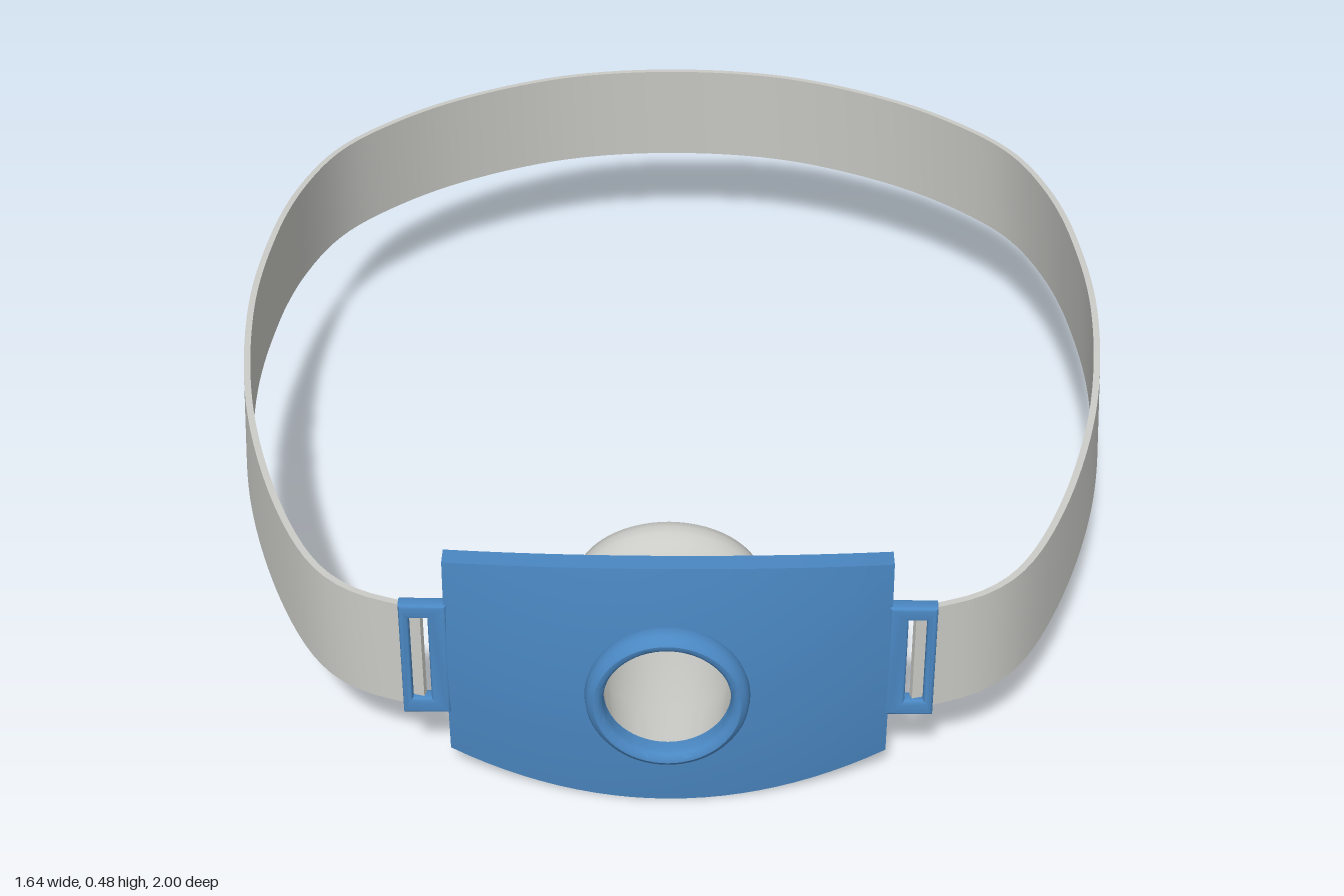
import * as THREE from 'three';
import { toCreasedNormals } from 'three/addons/utils/BufferGeometryUtils.js';

const blue = new THREE.MeshStandardMaterial({ color: 0x4a87c2 });
blue.name = 'blue plastic';
const grey = new THREE.MeshStandardMaterial({ color: 0xcacac6 });
grey.name = 'light grey';

const CY = 0.24; // height of the plate centre

// Skin a list of closed loops, each an array of [x, y, z]
function loft(rows, crease = 0.6) {
  const n = rows[0].length, index = [];
  for (let i = 0; i < rows.length - 1; i++) {
    for (let j = 0; j < n; j++) {
      const k = (j + 1) % n;
      const a = i * n + j, b = i * n + k, c = b + n, d = a + n;
      index.push(a, d, b, b, d, c);
    }
  }
  const g = new THREE.BufferGeometry();
  g.setAttribute('position', new THREE.Float32BufferAttribute(rows.flat(2), 3));
  g.setIndex(index);
  return toCreasedNormals(g, crease);
}

function add(group, name, geometry, material) {
  const mesh = new THREE.Mesh(geometry, material);
  mesh.name = name;
  group.add(mesh);
  return mesh;
}

// Doubly curved shield with a round hole and bowed top and bottom edges
function plateGeometry() {
  const W = 0.37, T = 0.036, hole = 0.12, steps = 10, n = 24;
  const half = x => 0.24 - 0.33 * x * x;
  const front = (x, y) => 0.966 - 0.6 * x * x - 0.27 * y * y;
  const edge = [];
  for (let i = 0; i < n; i++) edge.push([W, half(W) * (2 * i / n - 1)]);
  for (let i = 0; i < n; i++) { const x = W * (1 - 2 * i / n); edge.push([x, half(x)]); }
  for (let i = 0; i < n; i++) edge.push([-W, half(W) * (1 - 2 * i / n)]);
  for (let i = 0; i < n; i++) { const x = W * (2 * i / n - 1); edge.push([x, -half(x)]); }
  const ring = (t, back) => edge.map(([ex, ey]) => {
    const s = THREE.MathUtils.lerp(hole / Math.hypot(ex, ey), 1, t);
    const x = ex * s, y = ey * s;
    return [x, y + CY, front(x, y) - back];
  });
  const rows = [];
  for (let i = 0; i <= steps; i++) rows.push(ring(i / steps, 0));
  for (let i = steps; i >= 0; i--) rows.push(ring(i / steps, T));
  rows.push(ring(0, 0));
  return loft(rows);
}

// Oval tube: each section is [half width, half height, z]
function tubeGeometry() {
  const sections = [
    [0.106, 0.106, 0.97], [0.128, 0.128, 0.968], [0.128, 0.128, 0.945], [0.149, 0.109, 0.938],
    [0.149, 0.109, 0.75], [0.151, 0.112, 0.735], [0.159, 0.124, 0.718], [0.166, 0.134, 0.703],
    [0.167, 0.136, 0.685], [0.164, 0.133, 0.669], [0.154, 0.126, 0.659], [0.135, 0.115, 0.657],
    [0.121, 0.108, 0.664], [0.115, 0.105, 0.68], [0.115, 0.105, 0.88], [0.106, 0.106, 0.97],
  ];
  return loft(sections.map(([rx, ry, z]) => Array.from({ length: 64 }, (_, i) => {
    const a = i / 64 * Math.PI * 2;
    return [rx * Math.cos(a), CY + ry * Math.sin(a), z];
  })), 0.75);
}

// Rounded flange around the front opening
function flangeGeometry() {
  const profile = [
    [0.105, 0.964], [0.134, 0.964], [0.136, 0.972], [0.134, 0.985], [0.129, 0.994],
    [0.121, 1.0], [0.114, 0.999], [0.108, 0.994], [0.105, 0.985], [0.105, 0.964],
  ].map(([r, z]) => new THREE.Vector2(r, z));
  const g = new THREE.LatheGeometry(profile, 64);
  g.rotateX(Math.PI / 2);
  return toCreasedNormals(g, 0.75);
}

// Slotted frame that holds the strap
function buckleGeometry() {
  const b = 0.006;
  const rect = (P, x0, x1, y0, y1) => {
    const p = new P();
    p.moveTo(x0, y0).lineTo(x1, y0).lineTo(x1, y1).lineTo(x0, y1).closePath();
    return p;
  };
  const shape = rect(THREE.Shape, 0.365 + b, 0.445 - b, 0.13 + b, 0.354 - b);
  shape.holes.push(rect(THREE.Path, 0.397 - b, 0.428 + b, 0.16 - b, 0.327 + b));
  const g = new THREE.ExtrudeGeometry(shape, {
    depth: 0.016, bevelThickness: b, bevelSize: b, bevelSegments: 3,
  });
  g.translate(0, 0, 0.858 + b);
  return toCreasedNormals(g, 0.6);
}

// Head strap swept round the back, rising slightly and flared at its lower edge
function strapGeometry() {
  const side = [
    [0.408, 0.872], [0.45, 0.859], [0.515, 0.834], [0.57, 0.793], [0.62, 0.725], [0.695, 0.555],
    [0.765, 0.3], [0.799, 0], [0.791, -0.22], [0.757, -0.44], [0.695, -0.61],
    [0.6, -0.73], [0.46, -0.845], [0.24, -0.95],
  ];
  const path = [...side, [0, -0.982], ...side.slice().reverse().map(([x, z]) => [-x, z])];
  const curve = new THREE.CatmullRomCurve3(path.map(([x, z]) => new THREE.Vector3(x, 0, z)));
  const N = 160, H = 0.103, T = 0.006, rows = [];
  for (let i = 0; i <= N; i++) {
    const u = i / N, p = curve.getPointAt(u), t = curve.getTangentAt(u);
    const rise = THREE.MathUtils.clamp((p.z + 0.3) / 1.17, 0, 1);
    const y = 0.304 - 0.064 * Math.pow(rise, 1.15);
    const flare = 0.012 * THREE.MathUtils.smoothstep(Math.min(u, 1 - u), 0.03, 0.2);
    const at = (o, h) => [p.x - t.z * o, y + h, p.z + t.x * o];
    const section = [at(T + flare, -H), at(T, H), at(-T, H), at(flare - T, -H)];
    const cap = section.map(() => at(0, 0));
    if (i === 0) rows.push(cap);
    rows.push(section);
    if (i === N) rows.push(cap);
  }
  return loft(rows);
}

export function createModel() {
  const model = new THREE.Group();
  model.name = 'strapped mouthpiece';
  add(model, 'shieldPlate', plateGeometry(), blue);
  add(model, 'frontFlange', flangeGeometry(), blue).position.y = CY;
  add(model, 'mouthTube', tubeGeometry(), grey);
  add(model, 'headStrap', strapGeometry(), grey);

  // The frame is symmetric front to back, so a half turn mirrors it
  const buckle = buckleGeometry();
  add(model, 'leftBuckle', buckle, blue);
  const right = add(model, 'rightBuckle', buckle, blue);
  right.rotation.y = Math.PI;
  right.position.z = 2 * 0.872;
  return model;
}
